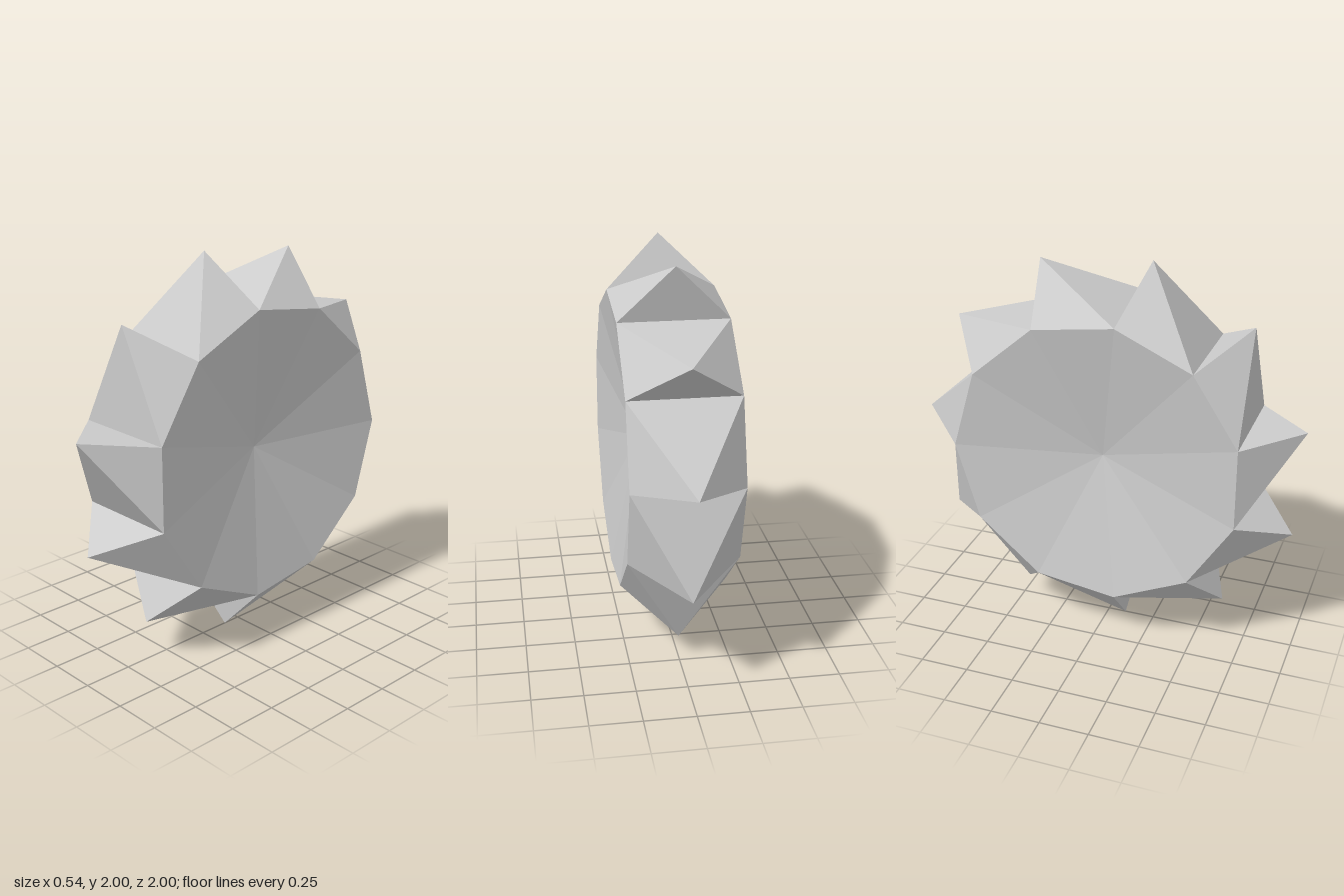
import * as THREE from 'three';

const COUNT = 11, STEP = (Math.PI * 2) / COUNT;
const RIM = 0.745, TIP = 1.013, HALF_WIDTH = 0.27, HUB_X = 0.13;
const CY = 1.01, CZ = 0.0115, LEAN = THREE.MathUtils.degToRad(3.5);

// point on the wheel, angle measured from the back (-z) upwards
const at = (x, r, a) => [x, CY + r * Math.sin(a), CZ - r * Math.cos(a)];

function facetMesh(name, triangles, material) {
  const geometry = new THREE.BufferGeometry();
  geometry.setAttribute('position', new THREE.Float32BufferAttribute(triangles.flat(2), 3));
  geometry.computeVertexNormals();
  const mesh = new THREE.Mesh(geometry, material);
  mesh.name = name;
  return mesh;
}

export function createModel() {
  const group = new THREE.Group();
  group.name = 'spikedWheel';
  const material = new THREE.MeshStandardMaterial({ color: 0xcccccc, flatShading: true });

  // shallow dished side faces, fanned from a recessed hub
  for (const side of [1, -1]) {
    const hub = at(side * HUB_X, 0, 0);
    const fan = [];
    for (let i = 0; i < COUNT; i++) {
      const p = at(side * HALF_WIDTH, RIM, i * STEP);
      const q = at(side * HALF_WIDTH, RIM, (i + 1) * STEP);
      fan.push(side > 0 ? [hub, p, q] : [hub, q, p]);
    }
    group.add(facetMesh(side > 0 ? 'leftDish' : 'rightDish', fan, material));
  }

  // leaning four-sided spike on every rim segment
  for (let i = 0; i < COUNT; i++) {
    const a0 = i * STEP, a1 = a0 + STEP;
    const tip = at(0, TIP, a0 + LEAN);
    const base = [
      at(HALF_WIDTH, RIM, a0), at(-HALF_WIDTH, RIM, a0),
      at(-HALF_WIDTH, RIM, a1), at(HALF_WIDTH, RIM, a1),
    ];
    const sides = base.map((p, k) => [p, base[(k + 1) % 4], tip]);
    group.add(facetMesh(`spike${i + 1}`, sides, material));
  }
  return group;
}
